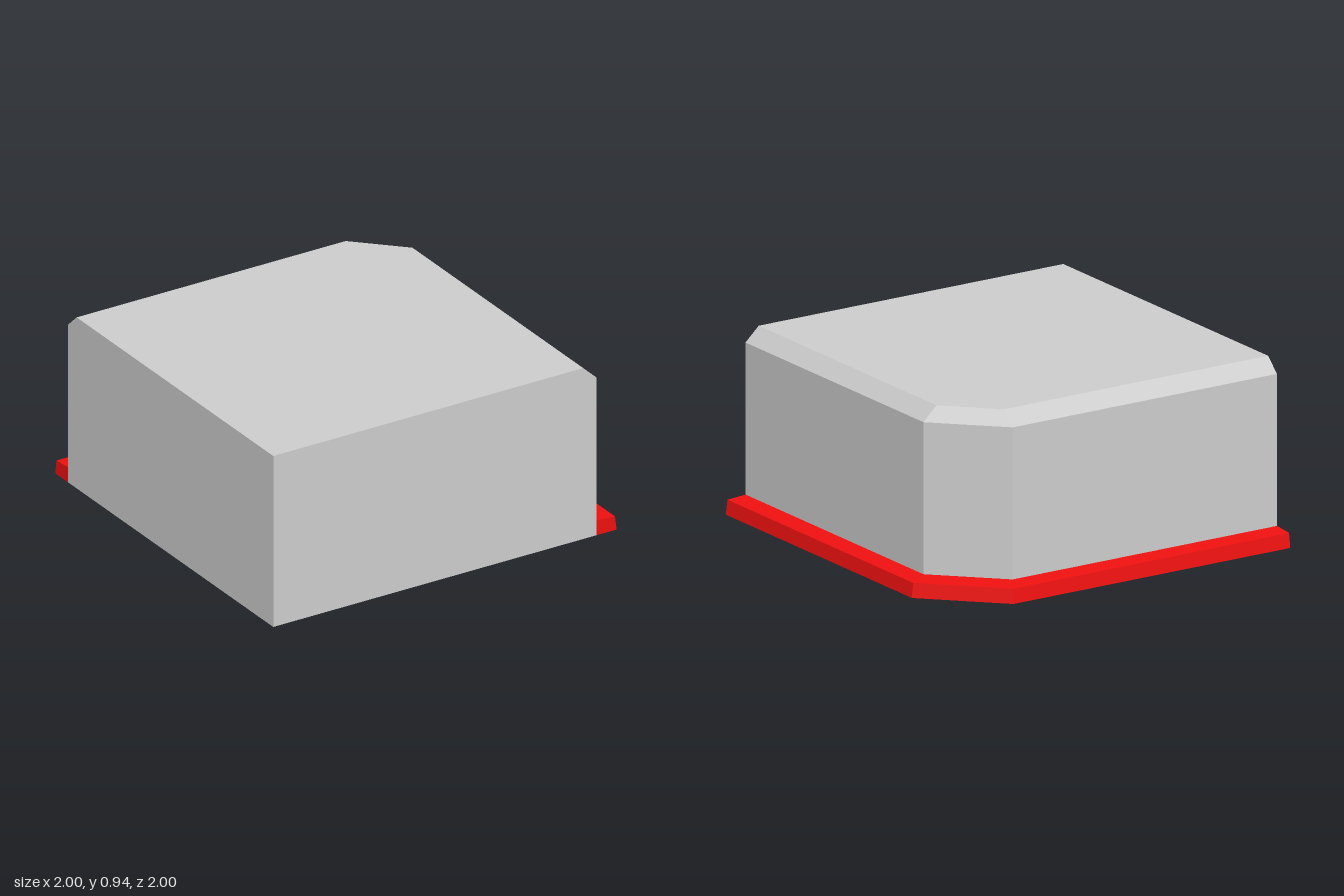
import * as THREE from 'three';

// Joins equal-sized convex cross-sections into a closed, flat-faced solid.
// Corners run counter-clockwise as seen from the far end.
function loft(sections) {
  const pos = [];
  const tri = (a, b, c) => pos.push(...a, ...b, ...c);
  const n = sections[0].length;
  for (let i = 0; i < sections.length - 1; i++) {
    for (let j = 0; j < n; j++) {
      const k = (j + 1) % n;
      const [a, b, c, d] = [sections[i][j], sections[i][k], sections[i + 1][k], sections[i + 1][j]];
      tri(a, b, c);
      tri(a, c, d);
    }
  }
  const first = sections[0], last = sections[sections.length - 1];
  for (let j = 1; j < n - 1; j++) {
    tri(first[0], first[j + 1], first[j]);
    tri(last[0], last[j], last[j + 1]);
  }
  const geometry = new THREE.BufferGeometry();
  geometry.setAttribute('position', new THREE.Float32BufferAttribute(pos, 3));
  geometry.computeVertexNormals();
  return geometry;
}

// Outer edge path: front end, two points of the cut corner, left-hand end.
// e = distance of the straight edges, c = where the corner cut begins.
const edgePath = (e, c) => [[e, 1], [e, -c], [c, -e], [-1, -e]];

function part(name, sections, color) {
  const material = new THREE.MeshStandardMaterial({ color, flatShading: true });
  const mesh = new THREE.Mesh(loft(sections), material);
  mesh.name = name;
  return mesh;
}

export function createModel() {
  const group = new THREE.Group();
  group.name = 'cornerBlock';
  const wall = 0.883, cut = 0.567;

  // Block with a cut corner and a bevelled top edge
  const ring = (e, y) => [[-1, 1], ...edgePath(e, cut)].map(([x, z]) => [x, y, z]);
  group.add(part('block', [ring(wall, 0), ring(wall, 0.867), ring(0.805, 0.94)], 0xcccccc));

  // Red curb swept around the foot of the two outer walls
  const corners = [
    [edgePath(wall, cut), 0],
    [edgePath(wall, cut), 0.083],
    [edgePath(0.99, 0.635), 0.075],
    [edgePath(1, 0.64), 0],
  ];
  const curb = [0, 1, 2, 3].map(i => corners.map(([path, y]) => [path[i][0], y, path[i][1]]));
  group.add(part('curb', curb, 0xee1010));

  return group;
}
